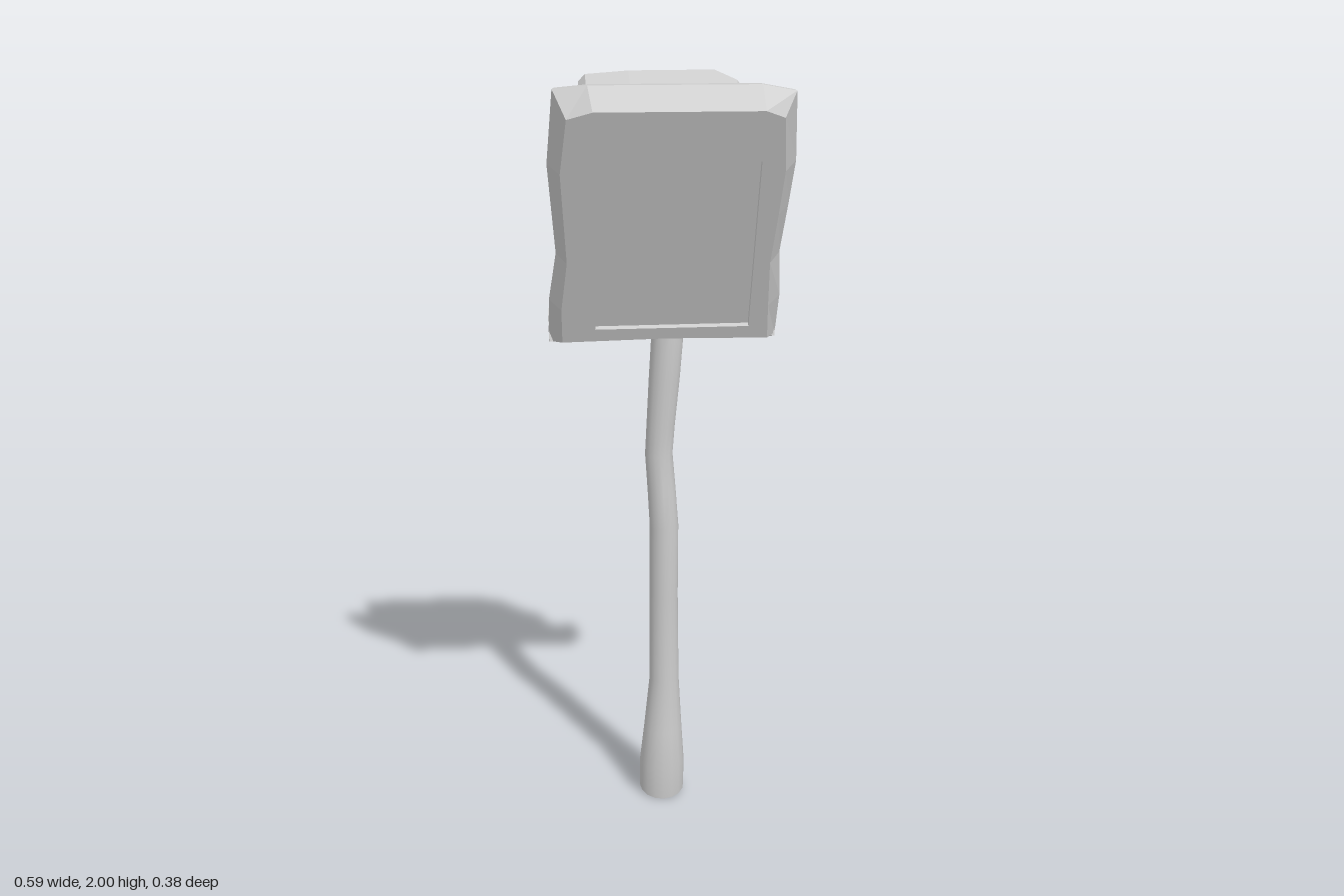
import * as THREE from 'three';
import { toCreasedNormals } from 'three/addons/utils/BufferGeometryUtils.js';

const flat = new THREE.MeshStandardMaterial({ color: 0xcccccc, flatShading: true });
const smooth = new THREE.MeshStandardMaterial({ color: 0xcccccc });
const openSmooth = new THREE.MeshStandardMaterial({ color: 0xcccccc, side: THREE.DoubleSide });

// Skin a list of equal-length rings, optionally closing both ends with fans.
function loft(rings, closed = true) {
  const pos = [];
  const tri = (...v) => v.forEach((p) => pos.push(p.x, p.y, p.z));
  const centre = (r) => r.reduce((s, p) => s.add(p), new THREE.Vector3()).divideScalar(r.length);
  const n = rings[0].length, last = rings[rings.length - 1];
  const c0 = centre(rings[0]), c1 = centre(last);
  for (let j = 0; j < n; j++) {
    const k = (j + 1) % n;
    for (let i = 0; i + 1 < rings.length; i++) {
      const a = rings[i], b = rings[i + 1];
      tri(a[j], a[k], b[k]);
      tri(a[j], b[k], b[j]);
    }
    if (closed) {
      tri(c0, rings[0][k], rings[0][j]);
      tri(c1, last[j], last[k]);
    }
  }
  const g = new THREE.BufferGeometry();
  g.setAttribute('position', new THREE.Float32BufferAttribute(pos, 3));
  g.computeVertexNormals();
  return g;
}

const ring = (pts, z) => pts.map(([x, y]) => new THREE.Vector3(x, y, z));
const scaled = (pts, sx, sy, cy) => pts.map(([x, y]) => [x * sx, cy + (y - cy) * sy]);
const toPath = (pts) => pts.map(([x, y]) => new THREE.Vector2(x, y));

// Plate with cut-outs, sitting between z - depth and z.
function cutPlate(outline, holes, z, depth) {
  const shape = new THREE.Shape(toPath(outline));
  holes.forEach((h) => shape.holes.push(new THREE.Path(toPath(h))));
  const g = new THREE.ExtrudeGeometry(shape, { depth, bevelEnabled: false });
  return g.translate(0, 0, z - depth);
}

function add(parent, name, geometry, material = flat) {
  const mesh = new THREE.Mesh(geometry, material);
  mesh.name = name;
  parent.add(mesh);
  return mesh;
}

export function createModel() {
  const model = new THREE.Group();
  model.name = 'handheldPanel';

  // Open tube handle: slightly crooked, flared towards a slanted foot [y, x, z, radius, slant]
  const stations = [
    [0.014, -0.01, -0.116, 0.061, 0.23], [0.1, -0.01, -0.109, 0.061, 0.12],
    [0.2, -0.007, -0.111, 0.052, 0], [0.35, -0.003, -0.113, 0.04, 0],
    [0.6, -0.004, -0.11, 0.038, 0], [0.8, -0.003, -0.108, 0.038, 0],
    [0.9, -0.009, -0.111, 0.037, 0], [1.0, -0.016, -0.114, 0.036, 0],
    [1.08, -0.011, -0.113, 0.037, 0], [1.2, -0.002, -0.112, 0.04, 0],
    [1.3, 0.005, -0.112, 0.041, 0], [1.365, 0.007, -0.112, 0.039, 0],
  ];
  const handleRings = stations.map(([y, x, z, r, slant]) =>
    Array.from({ length: 16 }, (_, i) => {
      const a = (i / 16) * Math.PI * 2;
      return new THREE.Vector3(x + r * Math.cos(a), y + r * slant * Math.sin(a), z - r * Math.sin(a));
    }));
  add(model, 'handle', toCreasedNormals(loft(handleRings, false), 0.7), openSmooth);

  // Head: everything above the handle, leaning forward
  const head = new THREE.Group();
  head.name = 'head';
  head.position.set(0, 1.31, -0.117);
  head.rotation.x = 0.393;
  model.add(head);

  // Bezel with wavy sides and a bevelled front
  const outer = [
    [-0.294, 0], [0, 0.025], [0.282, 0.008], [0.285, 0.13], [0.274, 0.26], [0.285, 0.4], [0.293, 0.52],
    [0.28, 0.705], [0.2, 0.722], [-0.2, 0.724], [-0.28, 0.716], [-0.294, 0.52], [-0.275, 0.27], [-0.293, 0.13],
  ];
  const front = [
    [-0.262, 0.03], [0, 0.035], [0.255, 0.03], [0.25, 0.13], [0.245, 0.26], [0.255, 0.4], [0.262, 0.52],
    [0.25, 0.662], [0.205, 0.68], [-0.19, 0.682], [-0.25, 0.664], [-0.265, 0.52], [-0.25, 0.27], [-0.264, 0.13],
  ];
  const screen = [[-0.18, 0.068], [0.205, 0.068], [0.205, 0.548], [-0.18, 0.548]];
  add(head, 'bezel', loft([
    ring(scaled(outer, 0.98, 0.97, 0.36), -0.025), ring(outer, 0), ring(front, 0.047), ring(front, 0.033),
  ]));
  add(head, 'screenFrame', cutPlate(front, [screen], 0.047, 0.014));

  // Lip under the bezel, projecting backwards, arched at the front and deeper at its right end
  const lipShape = new THREE.Shape(toPath([[-0.015, 0.01], [0, -0.002], [0.072, 0.017], [0.067, 0.044], [0, 0.03]]));
  const lipGeo = new THREE.ExtrudeGeometry(lipShape, { depth: 0.574, steps: 12, bevelEnabled: false });
  lipGeo.rotateY(Math.PI / 2).translate(-0.294, 0, 0);
  const lp = lipGeo.attributes.position;
  for (let i = 0; i < lp.count; i++) {
    const x = lp.getX(i);
    const arch = THREE.MathUtils.clamp((0.16 - Math.abs(x)) / 0.08, 0, 1);
    if (lp.getZ(i) > -0.03) lp.setY(i, lp.getY(i) + 0.022 * arch);
    else lp.setZ(i, lp.getZ(i) - Math.max(0, -x - 0.2) * 0.12);
  }
  add(head, 'lowerLip', lipGeo);

  // Rear housing, built facing backwards with one clipped top corner
  const housing = new THREE.Group();
  housing.name = 'rearHousing';
  housing.rotation.y = Math.PI;
  housing.position.z = -0.015;
  head.add(housing);
  const mirrorX = (pts) => pts.map(([x, y]) => [-x, y]).reverse();
  const body = mirrorX([
    [-0.2, 0.062], [0.19, 0.062], [0.21, 0.1], [0.203, 0.3], [0.212, 0.6], [0.155, 0.675],
    [0.1, 0.702], [-0.1, 0.702], [-0.2, 0.694], [-0.216, 0.675], [-0.206, 0.3], [-0.211, 0.1],
  ]);
  const back = scaled(body, 0.975, 0.88, 0.3);
  add(housing, 'housingShell', loft([
    ring(scaled(body, 0.98, 0.96, 0.38), 0), ring(body, 0.022), ring(body, 0.09), ring(back, 0.104), ring(back, 0.076),
  ]));

  // Back plate with a square socket above two slots
  const pockets = [
    [[-0.081, 0.398], [-0.008, 0.41], [0.065, 0.398], [0.065, 0.538], [-0.081, 0.538]],
    [[-0.081, 0.258], [-0.025, 0.258], [-0.025, 0.39], [-0.081, 0.384]],
    [[0.01, 0.258], [0.065, 0.258], [0.065, 0.384], [0.01, 0.39]],
  ].map(mirrorX);
  add(housing, 'backPlate', cutPlate(back, pockets, 0.104, 0.028));

  // Round collar inside the socket
  const collar = new THREE.Shape().absarc(0, 0, 0.058, 0, Math.PI * 2);
  collar.holes.push(new THREE.Path().absarc(0, 0, 0.048, 0, Math.PI * 2, true));
  const collarGeo = new THREE.ExtrudeGeometry(collar, { depth: 0.024, bevelEnabled: false, curveSegments: 20 });
  add(housing, 'socketCollar', toCreasedNormals(collarGeo, 0.6), smooth).position.set(0.005, 0.476, 0.076);

  return model;
}
